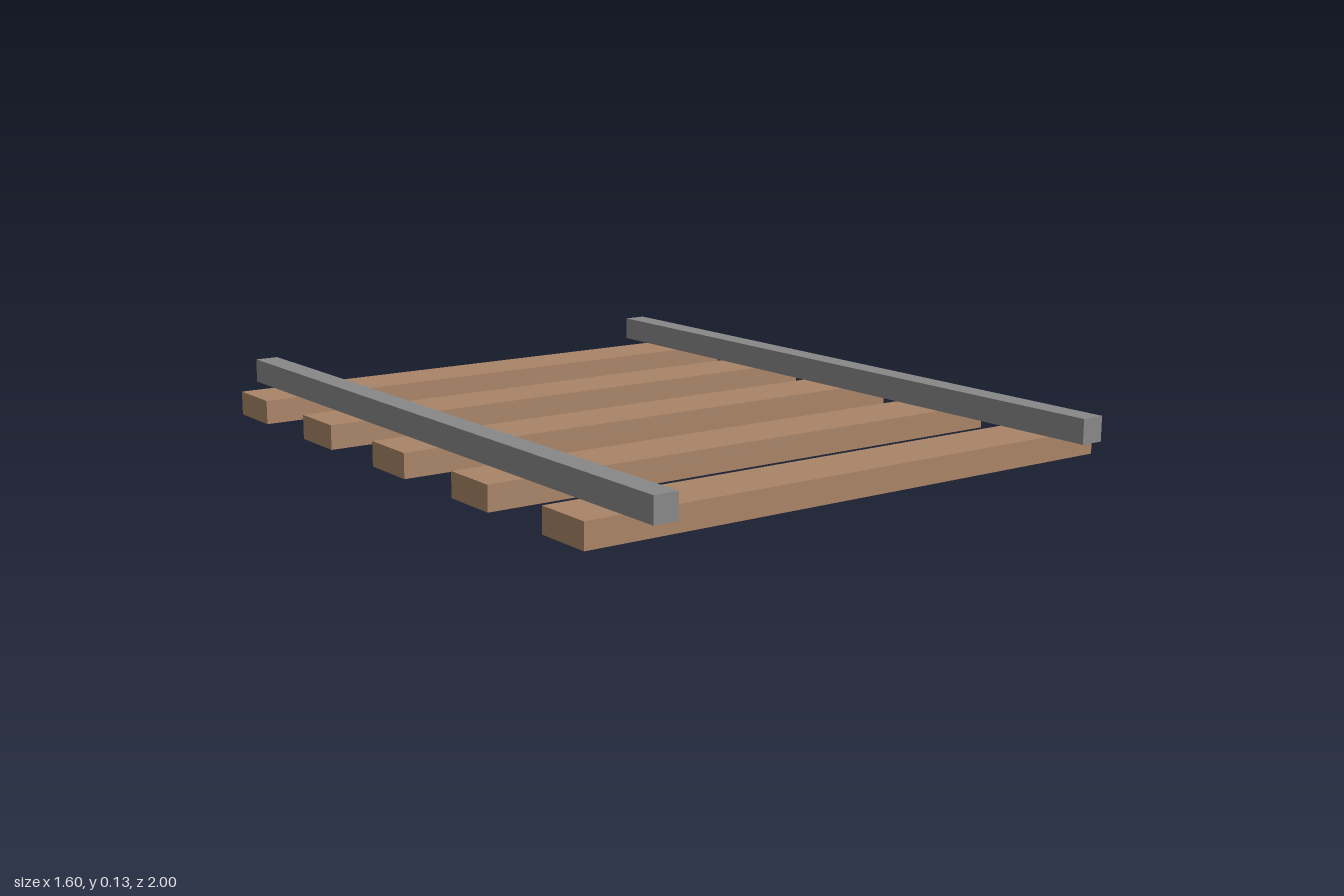
import * as THREE from 'three';

const TIE_COUNT = 5;
const TIE_SPACING = 0.4;
const THICKNESS = 0.0667;
const RAIL_X = 0.6667;

export function createModel() {
  const model = new THREE.Group();
  model.name = 'railwayTrack';

  const wood = new THREE.MeshStandardMaterial({ color: 0xa98467 });
  wood.name = 'wood';
  const steel = new THREE.MeshStandardMaterial({ color: 0x888888 });
  steel.name = 'steel';

  // Wooden ties lying across the track
  const tieGeometry = new THREE.BoxGeometry(1.6, THICKNESS, 0.1667);
  for (let i = 0; i < TIE_COUNT; i++) {
    const tie = new THREE.Mesh(tieGeometry, wood);
    tie.name = `tie${i + 1}`;
    tie.position.set(0, THICKNESS / 2, (i - (TIE_COUNT - 1) / 2) * TIE_SPACING);
    model.add(tie);
  }

  // Square rails resting on the ties
  const railGeometry = new THREE.BoxGeometry(THICKNESS, THICKNESS, 2);
  for (const side of [1, -1]) {
    const rail = new THREE.Mesh(railGeometry, steel);
    rail.name = side > 0 ? 'leftRail' : 'rightRail';
    rail.position.set(side * RAIL_X, THICKNESS * 1.5, 0);
    model.add(rail);
  }

  return model;
}
